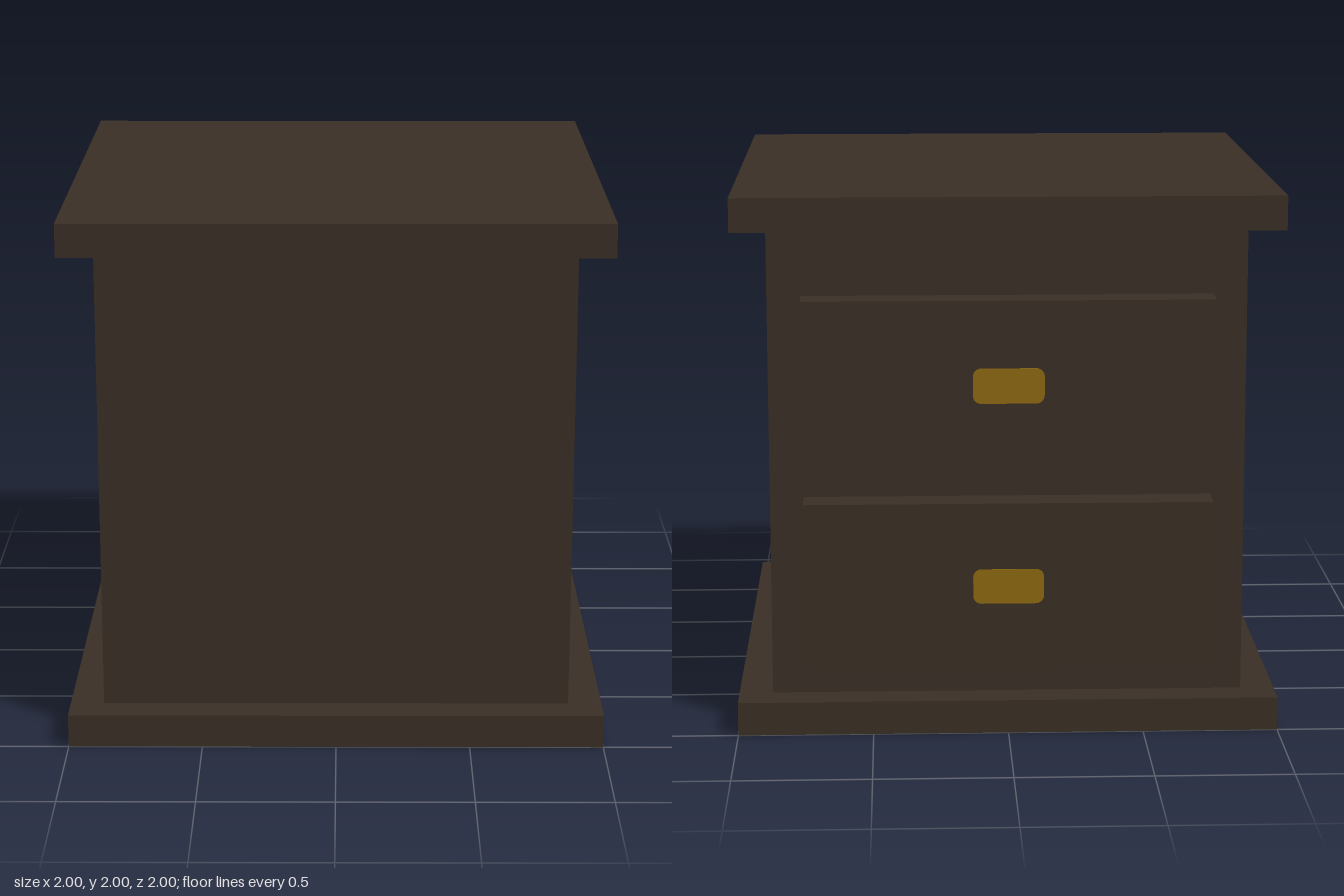
import * as THREE from 'three';

export function createModel() {
  const group = new THREE.Group();
  const wood = new THREE.MeshStandardMaterial({ color: 0x3a2f25 });
  wood.name = 'dark wood';
  const brass = new THREE.MeshStandardMaterial({ color: 0x8f6a10 });
  brass.name = 'brass';

  function box(name, w, h, d, y, z = 0) {
    const mesh = new THREE.Mesh(new THREE.BoxGeometry(w, h, d), wood);
    mesh.name = name;
    mesh.position.set(0, y, z);
    group.add(mesh);
  }

  // Cabinet body between two overhanging slabs
  box('base', 2, 0.125, 2, 0.0625);
  box('body', 1.75, 1.75, 1.75, 1);
  box('top', 2, 0.125, 2, 1.9375);

  // Handle plate outline with rounded corners
  const w = 0.13, h = 0.065, r = 0.03;
  const outline = new THREE.Shape();
  outline.absarc(w - r, h - r, r, 0, Math.PI / 2);
  outline.absarc(r - w, h - r, r, Math.PI / 2, Math.PI);
  outline.absarc(r - w, r - h, r, Math.PI, Math.PI * 1.5);
  outline.absarc(w - r, r - h, r, Math.PI * 1.5, Math.PI * 2);
  const plate = new THREE.ExtrudeGeometry(outline, { depth: 0.004, bevelEnabled: false, curveSegments: 4 });

  // Two drawers on the -z side, each with a flat handle plate
  [['lower', 0.5625], ['upper', 1.3125]].forEach(([level, y]) => {
    box(level + 'Drawer', 1.5, 0.625, 0.125, y, -0.9375);
    const handle = new THREE.Mesh(plate, brass);
    handle.name = level + 'Handle';
    handle.position.set(0, y, -1.003);
    group.add(handle);
  });

  return group;
}
